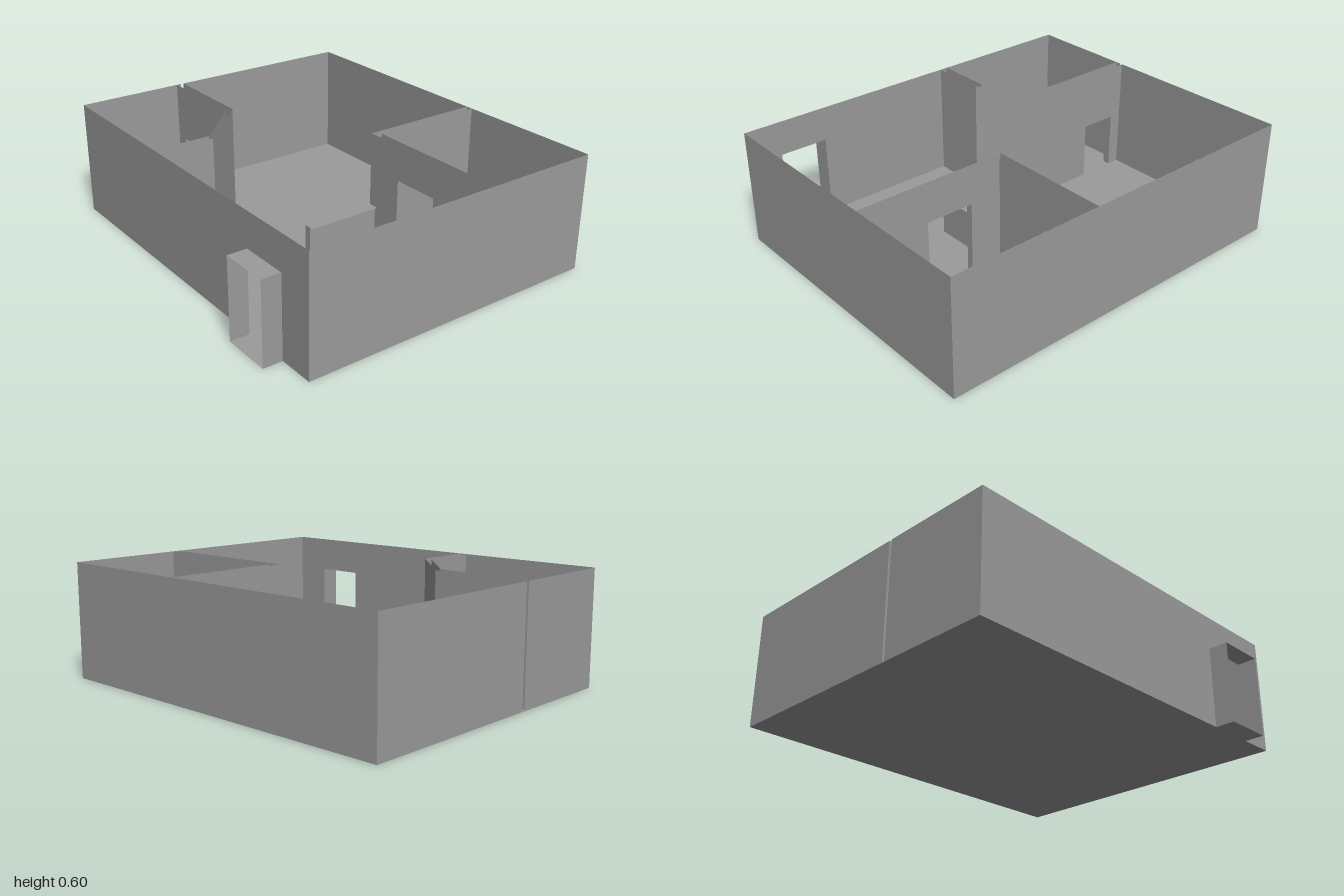
import * as THREE from 'three';

const material = new THREE.MeshStandardMaterial({ color: 0x9b9b9b, side: THREE.DoubleSide });
const WALL = 0.6, DOOR = 0.42;

function add(parent, name, geometry) {
  const mesh = new THREE.Mesh(geometry, material);
  mesh.name = name;
  parent.add(mesh);
  return mesh;
}

// Upright sheet from a to b ([x, z] points); door = [start, end, top] with [x, z] ends
function panel(parent, name, a, b, height = WALL, door) {
  const dist = (p) => Math.hypot(p[0] - a[0], p[1] - a[1]);
  const length = dist(b);
  const points = [[0, 0]];
  if (door) {
    const d0 = dist(door[0]), d1 = dist(door[1]);
    points.push([d0, 0], [d0, door[2]], [d1, door[2]], [d1, 0]);
  }
  points.push([length, 0], [length, height], [0, height]);
  const shape = new THREE.Shape(points.map((p) => new THREE.Vector2(...p)));
  const mesh = add(parent, name, new THREE.ShapeGeometry(shape));
  mesh.position.set(a[0], 0, a[1]);
  mesh.rotation.y = Math.atan2(a[1] - b[1], b[0] - a[0]);
}

// Level four-cornered sheet at height y
function sheet(parent, name, y, corners) {
  const shape = new THREE.Shape(corners.map(([x, z]) => new THREE.Vector2(x, -z)));
  const geometry = new THREE.ShapeGeometry(shape);
  geometry.rotateX(-Math.PI / 2);
  add(parent, name, geometry).position.y = y;
}

const rect = (x0, x1, z0, z1) => [[x0, z1], [x1, z1], [x1, z0], [x0, z0]];

// Jambs and header between two door outlines
function doorLining(parent, doorA, doorB, top) {
  for (const i of [0, 1]) panel(parent, 'doorJamb', doorA[i], doorB[i], top);
  sheet(parent, 'doorHeader', top, [doorA[0], doorA[1], doorB[1], doorB[0]]);
}

// Hollow wall, open on top: two skins and, if given, a lined doorway
function hollowWall(parent, name, skinA, skinB, doorA, doorB, top) {
  const wall = new THREE.Group();
  wall.name = name;
  parent.add(wall);
  panel(wall, 'outerSkin', ...skinA, WALL, doorA && [...doorA, top]);
  panel(wall, 'innerSkin', ...skinB, WALL, doorB && [...doorB, top]);
  if (doorA) doorLining(wall, doorA, doorB, top);
}

export function createModel() {
  const house = new THREE.Group();
  house.name = 'house';

  // Floor and outside walls; the right wall has a narrow joint beside the front room
  sheet(house, 'floor', 0, rect(-1, 1, -0.85, 0.75));
  panel(house, 'frontWall', [-1, 0.75], [1, 0.75], WALL, [[0.56, 0.75], [0.813, 0.75], DOOR]);
  panel(house, 'backWall', [-1, -0.85], [1, -0.85]);
  panel(house, 'leftWall', [1, -0.85], [1, 0.75]);
  panel(house, 'rightWallBack', [-1, -0.85], [-1, 0.155]);
  panel(house, 'rightWallFront', [-1, 0.17], [-1, 0.75]);

  // Porch, open at the front
  const porch = new THREE.Group();
  porch.name = 'porch';
  house.add(porch);
  for (const x of [0.56, 0.813]) panel(porch, 'porchSide', [x, 0.75], [x, 0.85], DOOR);
  for (const y of [0, DOOR]) sheet(porch, y ? 'porchRoof' : 'porchFloor', y, rect(0.56, 0.813, 0.75, 0.85));

  // Back room
  hollowWall(house, 'backRoomFront', [[0.2, -0.21], [1, -0.21]], [[0.235, -0.245], [1, -0.245]],
    [[0.405, -0.21], [0.655, -0.21]], [[0.405, -0.245], [0.655, -0.245]], DOOR);
  hollowWall(house, 'backRoomSide', [[0.2, -0.85], [0.2, -0.21]], [[0.235, -0.85], [0.235, -0.245]]);

  // Front room with a slanted corner
  hollowWall(house, 'frontRoomBack', [[-1, 0.155], [-0.49, 0.155]], [[-1, 0.195], [-0.49, 0.195]],
    [[-0.935, 0.155], [-0.735, 0.155]], [[-0.935, 0.195], [-0.735, 0.195]], 0.3);
  hollowWall(house, 'frontRoomSide', [[-0.195, 0.45], [-0.195, 0.75]], [[-0.235, 0.45], [-0.235, 0.75]]);

  // Slanted wall: plain outside, shallow door recess inside
  const slanted = new THREE.Group();
  slanted.name = 'slantedWall';
  house.add(slanted);
  const recess = [[-0.45, 0.215], [-0.26, 0.405]];
  const opening = [[-0.46, 0.225], [-0.27, 0.415]];
  panel(slanted, 'outerSkin', [-0.49, 0.155], [-0.195, 0.45]);
  panel(slanted, 'innerSkin', [-0.49, 0.195], [-0.235, 0.45], WALL, [...opening, DOOR]);
  panel(slanted, 'door', ...recess, DOOR);
  doorLining(slanted, recess, opening, DOOR);

  // Half wall with an overhanging counter
  for (const x of [0.2, 0.24]) panel(house, 'halfWall', [x, -0.21], [x, 0.19], 0.22);
  panel(house, 'halfWallEnd', [0.2, 0.19], [0.24, 0.19], 0.22);
  sheet(house, 'counterTop', 0.22, rect(0.18, 0.26, -0.21, 0.19));

  return house;
}
